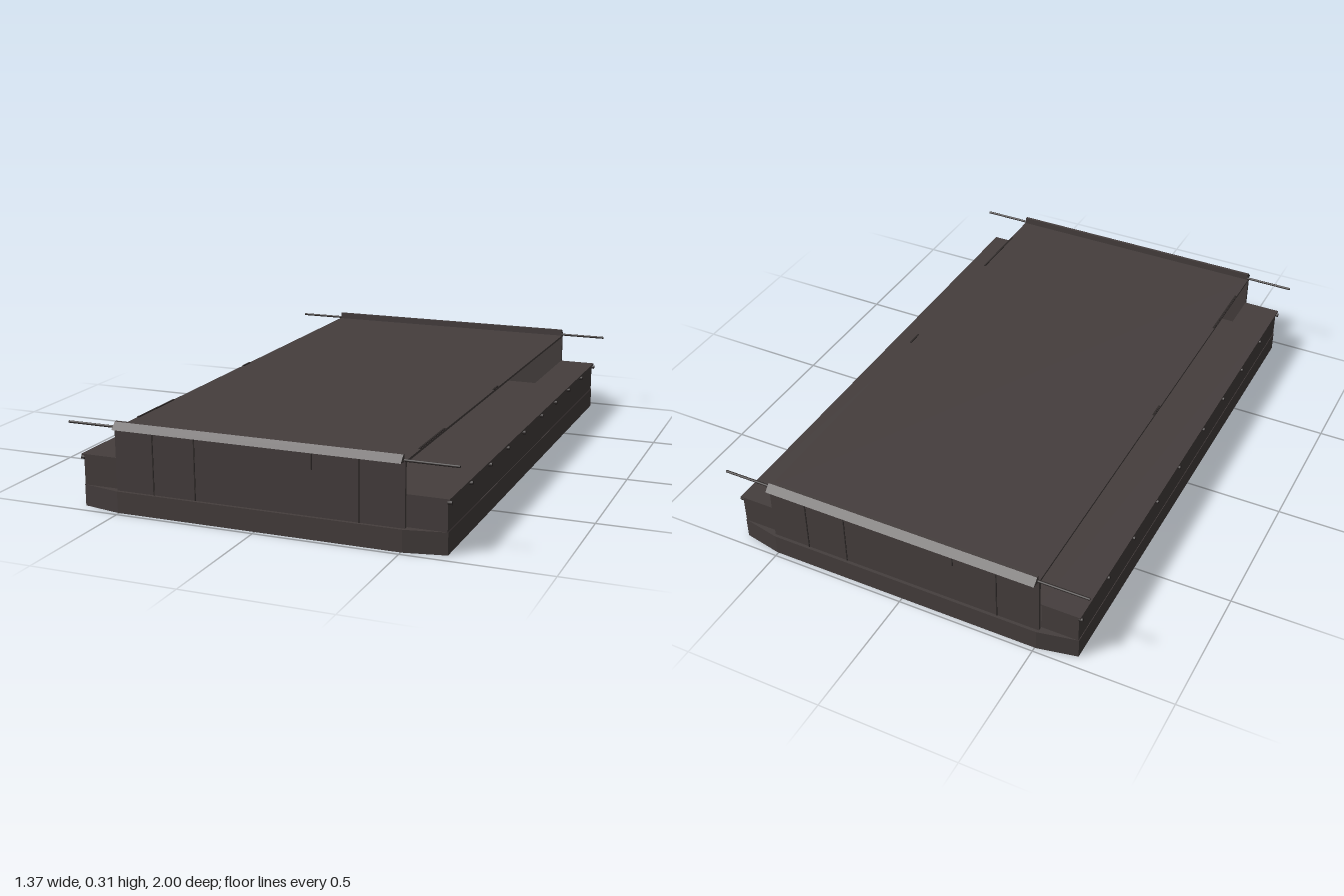
import * as THREE from 'three';

const iron = new THREE.MeshStandardMaterial({ color: 0x453e3d });
iron.name = 'dark brown iron';
const black = new THREE.MeshStandardMaterial({ color: 0x302b2a });
black.name = 'blackened iron';

export function createModel() {
  const model = new THREE.Group();
  const add = (name, geometry, material, x = 0, y = 0, z = 0) => {
    const mesh = new THREE.Mesh(geometry, material);
    mesh.name = name;
    mesh.position.set(x, y, z);
    model.add(mesh);
    return mesh;
  };
  // Box given by its lower and upper limits on each axis
  const box = (name, [x0, x1], [y0, y1], [z0, z1], material = iron) =>
    add(name, new THREE.BoxGeometry(x1 - x0, y1 - y0, z1 - z0), material,
      (x0 + x1) / 2, (y0 + y1) / 2, (z0 + z1) / 2);
  const span = (a, b) => [Math.min(a, b), Math.max(a, b)];

  // Base slab with chamfered corners
  const plan = new THREE.Shape([
    [-0.645, -0.955], [-0.505, -0.983], [0.505, -0.983], [0.645, -0.955],
    [0.645, 0.955], [0.505, 0.983], [-0.505, 0.983], [-0.645, 0.955],
  ].map(([x, z]) => new THREE.Vector2(x, z)));
  const slab = new THREE.ExtrudeGeometry(plan, { depth: 0.075, bevelEnabled: false });
  slab.rotateX(-Math.PI / 2);
  add('base', slab, iron);

  // Raised cover plate, open along both sides
  box('coverPlate', [-0.508, 0.508], [0.283, 0.291], [-0.965, 0.965]);

  for (const s of [-1, 1]) {
    // Side ledge with a thin overhanging top plate
    box('sideLedge', span(s * 0.51, s * 0.643), [0.075, 0.178], [-0.955, 0.955]);
    box('ledgePlate', span(s * 0.51, s * 0.65), [0.178, 0.184], [-0.96, 0.96]);

    // Row of bolts under the ledge plate
    for (const z of [0.95, 0.74, 0.53, 0.325, 0.12]) {
      for (const m of [-1, 1]) {
        const bolt = new THREE.CylinderGeometry(0.007, 0.007, 0.014, 8);
        bolt.rotateZ(Math.PI / 2);
        add('ledgeBolt', bolt, black, s * 0.648, 0.17, m * z);
      }
    }

    // Narrow strips along the cover edge
    for (const [z, length] of [[0.705, 0.25], [0, 0.06]]) {
      box('coverStrip', span(s * 0.501, s * 0.507), [0.29, 0.294],
        [z - length / 2, z + length / 2], black);
    }

    // End wall
    box('endWall', [-0.51, 0.51], [0.075, 0.29], span(s * 0.96, s * 0.972));

    // Sloping lip along the top of the end wall
    const profile = new THREE.Shape([
      new THREE.Vector2(0.965, 0.288), new THREE.Vector2(1, 0.292),
      new THREE.Vector2(0.976, 0.315), new THREE.Vector2(0.965, 0.315),
    ]);
    const lip = new THREE.ExtrudeGeometry(profile, { depth: 1.01, bevelEnabled: false });
    lip.translate(0, 0, -0.505);
    lip.rotateY(-s * Math.PI / 2);
    add('endLip', lip, iron);

    // Long rod through the lip
    const rod = new THREE.CylinderGeometry(0.0045, 0.0045, 1.37, 8);
    rod.rotateZ(Math.PI / 2);
    add('endRod', rod, black, 0, 0.295, s * 0.97);

    // Seams on the end wall
    for (const [x, y0] of [[-0.37, 0.075], [-0.217, 0.075], [0.197, 0.23], [0.357, 0.075]]) {
      box('wallSeam', [s * x - 0.002, s * x + 0.002], [y0, 0.288],
        span(s * 0.971, s * 0.974), black);
    }
  }
  return model;
}
